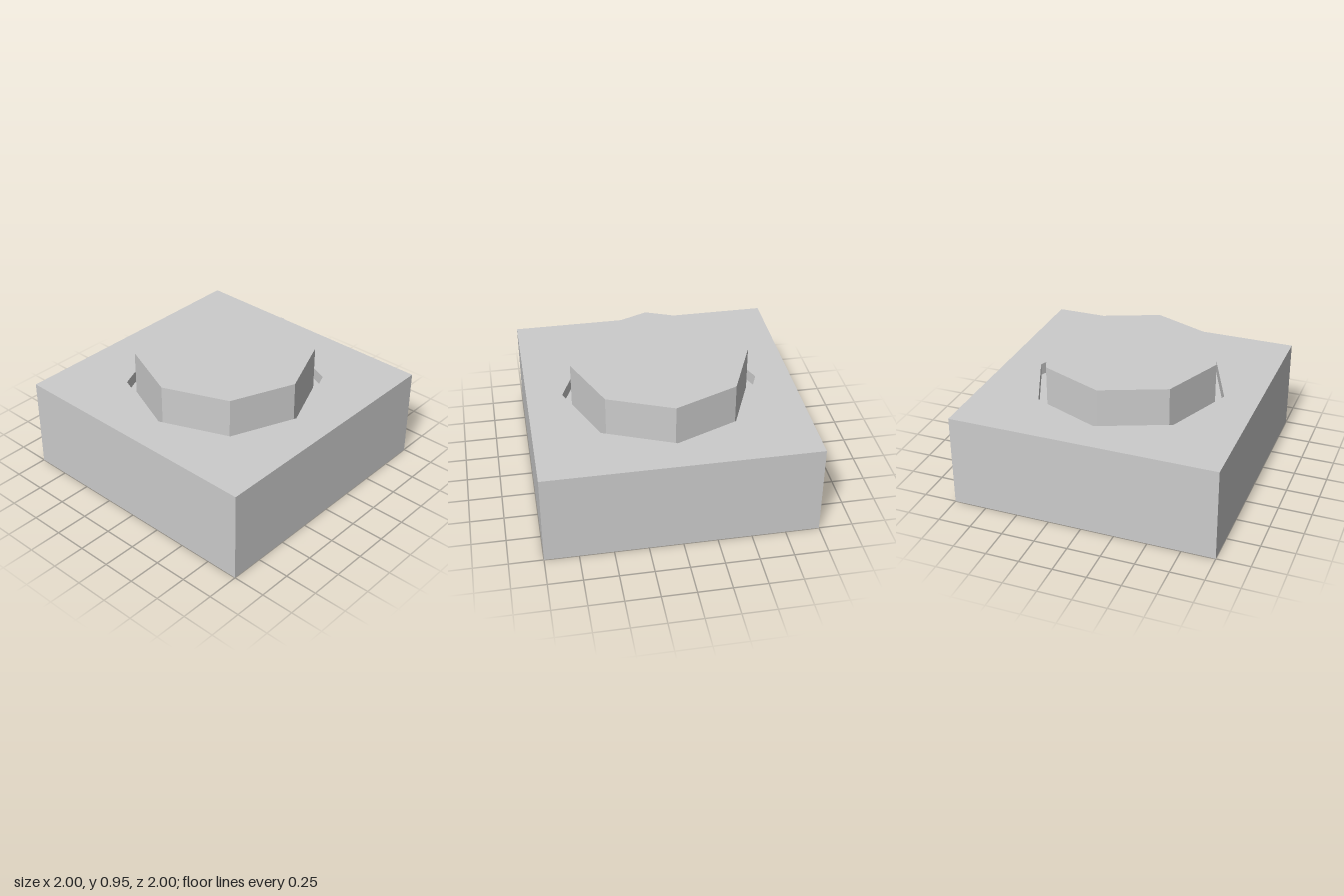
import * as THREE from 'three';

const HEIGHT = 0.7;      // top of the base block
const FLOOR = 0.61;      // bottom of the recess
const CAP_TOP = 0.95;
const HOLE_R = 0.735;
const CAP_R = 0.667;
const SIDES = 8;

export function createModel() {
  const group = new THREE.Group();
  const solid = new THREE.MeshStandardMaterial({ color: 0xcccccc, flatShading: true });
  const open = new THREE.MeshStandardMaterial({ color: 0xcccccc, flatShading: true, side: THREE.DoubleSide });

  const add = (name, geometry, material, y = 0) => {
    const mesh = new THREE.Mesh(geometry, material);
    mesh.name = name;
    mesh.position.y = y;
    group.add(mesh);
    return mesh;
  };

  // Base block: a box without its top face
  const box = new THREE.BoxGeometry(2, HEIGHT, 2);
  box.setIndex(Array.from(box.index.array).filter((_, i) => i < 12 || i >= 18));
  box.clearGroups();
  add('baseBlock', box, solid, HEIGHT / 2);

  // Top plate with the octagonal opening
  const plate = new THREE.Shape([[-1, -1], [1, -1], [1, 1], [-1, 1]].map(([x, y]) => new THREE.Vector2(x, y)));
  const corners = [];
  for (let i = 0; i < SIDES; i++) {
    const a = (-i / SIDES) * Math.PI * 2;
    corners.push(new THREE.Vector2(HOLE_R * Math.cos(a), HOLE_R * Math.sin(a)));
  }
  plate.holes.push(new THREE.Path(corners));
  add('topPlate', new THREE.ShapeGeometry(plate).rotateX(-Math.PI / 2), solid, HEIGHT);

  // Recess around the button: floor ring and wall
  const recess = [[CAP_R, FLOOR], [HOLE_R, FLOOR], [HOLE_R, HEIGHT]].map(([x, y]) => new THREE.Vector2(x, y));
  add('recess', new THREE.LatheGeometry(recess, SIDES), open);

  // Octagonal button standing in the recess
  add('button', new THREE.CylinderGeometry(CAP_R, CAP_R, CAP_TOP - FLOOR, SIDES), solid, (CAP_TOP + FLOOR) / 2);

  return group;
}
